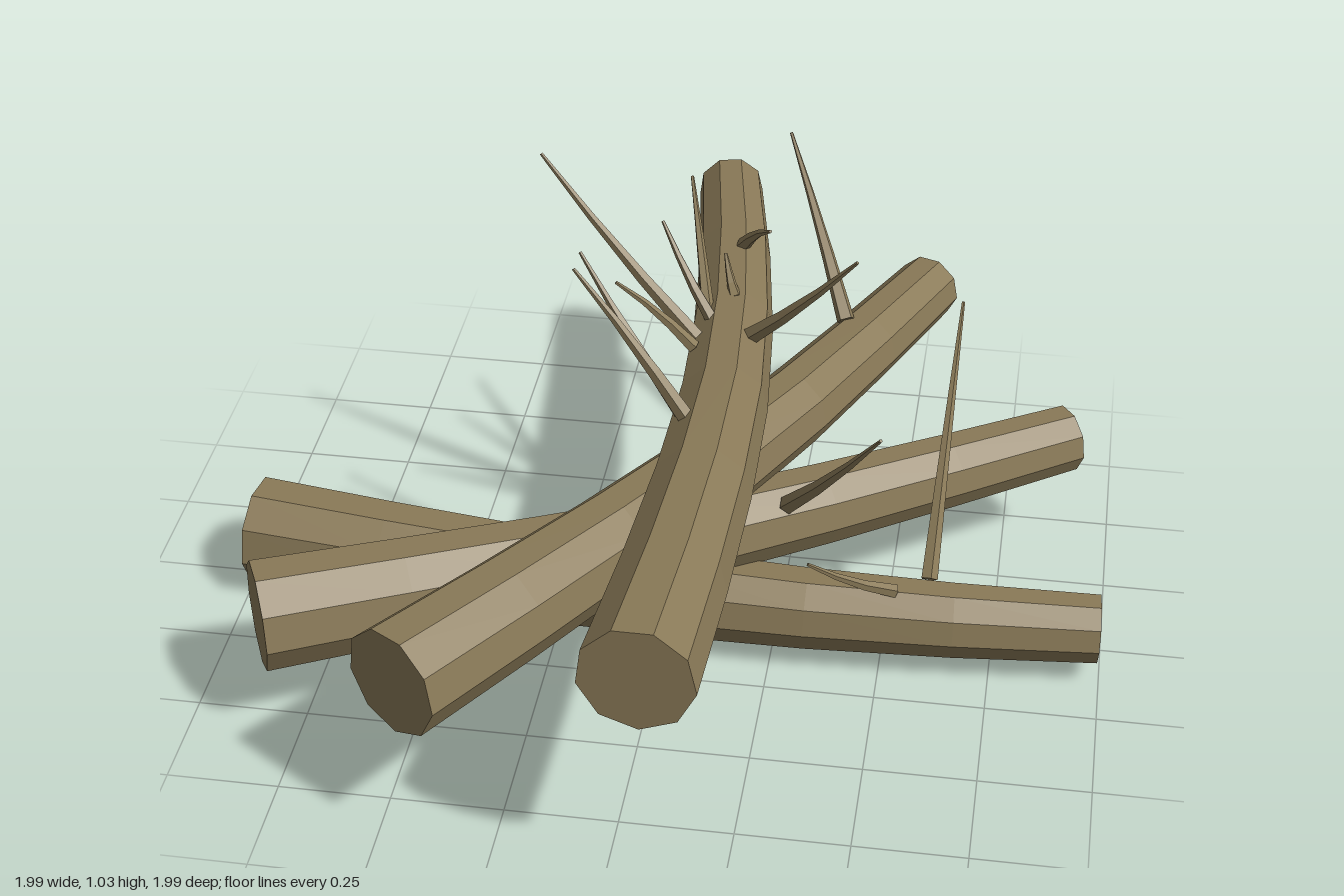
import * as THREE from 'three';

const V = (p) => new THREE.Vector3(...p);

// Tapered, bent branch with capped ends, swept along a curve
function branchGeometry(points, r0, r1, sides, segments, turn = 0) {
  const curve = new THREE.CatmullRomCurve3(points.map(V));
  const pos = [], index = [];
  const rings = [];
  for (let i = 0; i <= segments; i++) {
    const t = i / segments;
    const c = curve.getPointAt(t), dir = curve.getTangentAt(t);
    const ref = Math.abs(dir.y) > 0.95 ? V([1, 0, 0]) : V([0, 1, 0]);
    const side = new THREE.Vector3().crossVectors(dir, ref).normalize();
    const up = new THREE.Vector3().crossVectors(side, dir);
    const r = r0 + (r1 - r0) * t;
    rings.push(c);
    for (let j = 0; j < sides; j++) {
      const a = turn + (j / sides) * Math.PI * 2;
      const p = c.clone().addScaledVector(side, Math.cos(a) * r).addScaledVector(up, Math.sin(a) * r);
      pos.push(p.x, p.y, p.z);
    }
  }
  const last = segments * sides, c0 = last + sides, c1 = c0 + 1;
  for (const c of [rings[0], rings[segments]]) pos.push(c.x, c.y, c.z);
  for (let j = 0; j < sides; j++) {
    const k = (j + 1) % sides;
    for (let i = 0; i < segments; i++) {
      const a = i * sides + j, b = i * sides + k;
      index.push(a, a + sides, b, b, a + sides, b + sides);
    }
    index.push(c0, j, k, c1, last + k, last + j);
  }
  // Orient every face outwards using the enclosed volume
  let volume = 0;
  const at = (i) => V([pos[3 * i], pos[3 * i + 1], pos[3 * i + 2]]);
  for (let i = 0; i < index.length; i += 3)
    volume += at(index[i]).dot(at(index[i + 1]).cross(at(index[i + 2])));
  if (volume < 0) index.reverse();
  const g = new THREE.BufferGeometry();
  g.setAttribute('position', new THREE.Float32BufferAttribute(pos, 3));
  g.setIndex(index);
  const flat = g.toNonIndexed();
  flat.computeVertexNormals();
  return flat;
}

export function createModel() {
  const model = new THREE.Group();
  model.name = 'logPile';
  const wood = new THREE.MeshStandardMaterial({ color: 0x8a7a58, flatShading: true });
  wood.name = 'dryWood';

  const add = (name, geometry) => {
    const mesh = new THREE.Mesh(geometry, wood);
    mesh.name = name;
    model.add(mesh);
  };

  // Four logs stacked in a fan, thick end first
  const logs = {
    bottomLog: [[-0.985, 0.13, -0.005], [-0.5, 0.132, 0.055], [0, 0.135, 0.1], [0.5, 0.135, 0.11], [0.99, 0.13, 0.08]],
    lowerMiddleLog: [[-0.84, 0.285, 0.515], [-0.4, 0.288, 0.31], [0.05, 0.29, 0.085], [0.45, 0.288, -0.16], [0.885, 0.285, -0.45]],
    upperMiddleLog: [[-0.445, 0.44, 0.885], [-0.12, 0.442, 0.4], [0.16, 0.443, -0.07], [0.33, 0.441, -0.42], [0.517, 0.437, -0.845]],
    topLog: [[0.08, 0.597, 0.99], [0.11, 0.6, 0.5], [0.115, 0.601, 0], [0.075, 0.6, -0.5], [0, 0.598, -0.985]],
  };
  for (const [name, path] of Object.entries(logs))
    add(name, branchGeometry(path, 0.125, 0.079, 9, 6, -0.13));

  // Twigs: base, tip, base radius
  const twigs = [
    [[0.03, 0.66, -0.17], [-0.345, 1.03, -0.305], 0.02],
    [[0.07, 0.66, 0.18], [-0.2, 0.975, 0.09], 0.02],
    [[0.05, 0.66, 0.15], [-0.2, 0.97, 0.01], 0.018],
    [[0.04, 0.67, -0.28], [-0.03, 0.885, -0.51], 0.016],
    [[0.06, 0.67, -0.23], [-0.075, 0.85, -0.355], 0.016],
    [[0.03, 0.66, -0.13], [-0.145, 0.82, -0.12], 0.016],
    [[0.14, 0.66, -0.18], [0.4, 0.965, -0.045], 0.022],
    [[0.085, 0.68, -0.56], [0.165, 0.8, -0.43], 0.018],
    [[0.1, 0.68, -0.32], [0.065, 0.75, -0.4], 0.016],
    [[0.34, 0.52, -0.52], [0.165, 0.845, -0.83], 0.022],
    [[0.27, 0.36, 0.03], [0.49, 0.72, 0.27], 0.022],
    [[0.6, 0.21, 0.06], [0.62, 0.67, -0.4], 0.02],
    [[0.53, 0.22, 0.13], [0.335, 0.317, 0.19], 0.016],
  ];
  twigs.forEach(([base, tip, r], i) => {
    const middle = base.map((b, k) => (b + tip[k]) / 2);
    middle[1] += i % 2 ? 0.012 : -0.012;
    add('twig' + (i + 1), branchGeometry([base, middle, tip], r, 0.004, 5, 3));
  });
  return model;
}
